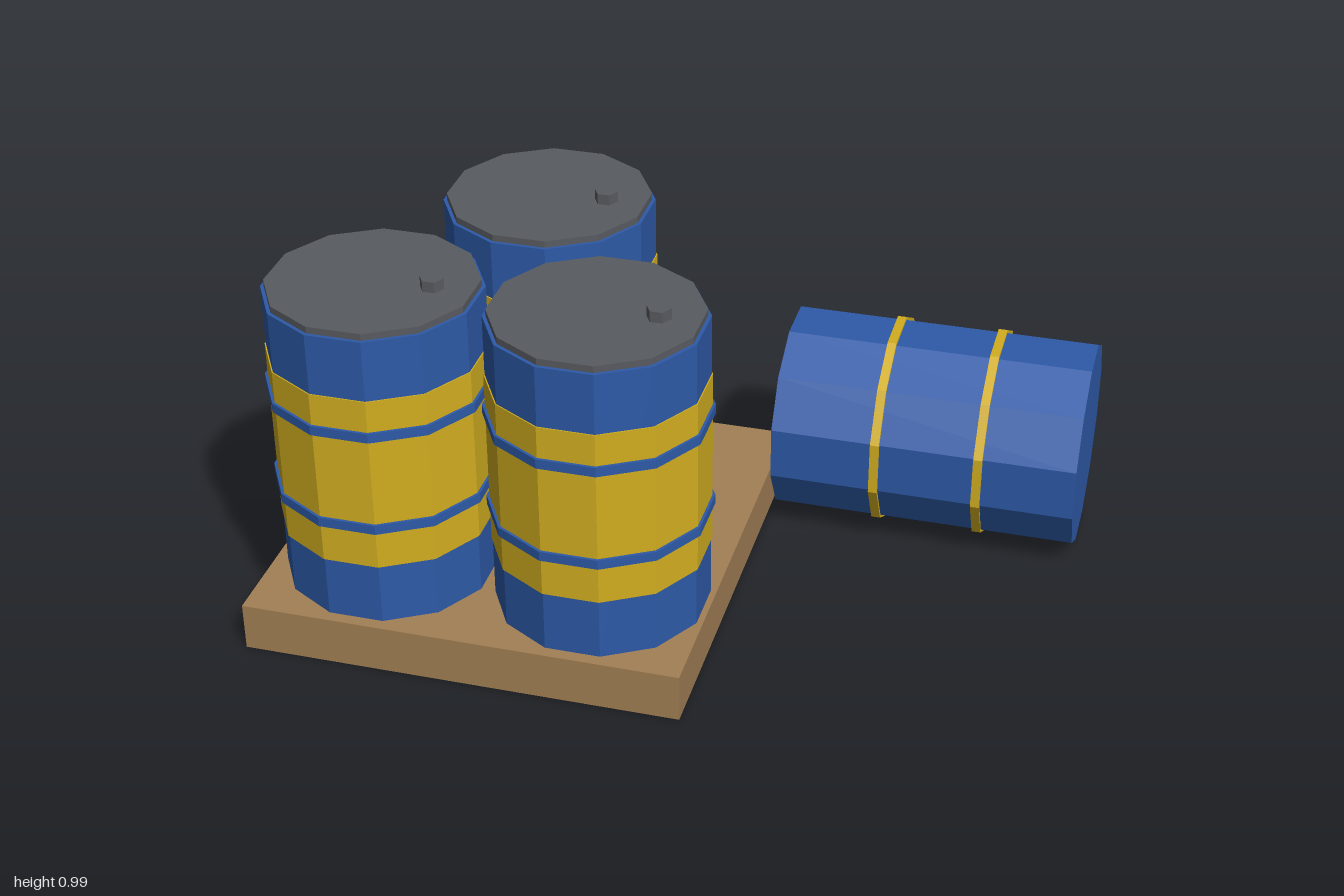
import * as THREE from 'three';

const material = (name, color) => {
  const m = new THREE.MeshStandardMaterial({ color, flatShading: true });
  m.name = name;
  return m;
};

export function createModel() {
  const blue = material('drum blue', 0x2d5aa8);
  const yellow = material('band yellow', 0xd2ae20);
  const grey = material('lid grey', 0x585b60);
  const brown = material('pallet brown', 0xa38055);

  const model = new THREE.Group();
  model.name = 'drumsOnPallet';
  const BASE = 0.13, LENGTH = 0.813;

  // Upright prism between two heights, with flat sides facing the axes
  const prism = (parent, name, mat, apothem, y0, y1, sides = 12) => {
    const geo = new THREE.CylinderGeometry(1, 1, y1 - y0, sides);
    geo.rotateY(Math.PI / sides);
    const r = apothem / Math.cos(Math.PI / sides);
    geo.scale(r, 1, r);
    const mesh = new THREE.Mesh(geo, mat);
    mesh.name = name;
    mesh.position.y = (y0 + y1) / 2;
    parent.add(mesh);
    return mesh;
  };

  // Pallet
  const pallet = new THREE.Mesh(new THREE.BoxGeometry(1.153, BASE, 1.158), brown);
  pallet.name = 'pallet';
  pallet.position.set(-0.4235, BASE / 2, 0.1);
  model.add(pallet);

  // Standing drums: shell, painted band, two hoops, lid and bung
  for (const [x, z] of [[-0.702, 0.38], [-0.13, 0.38], [-0.425, -0.174]]) {
    const drum = new THREE.Group();
    drum.name = 'standingDrum';
    drum.position.set(x, BASE, z);
    prism(drum, 'shell', blue, 0.267, 0, LENGTH);
    prism(drum, 'band', yellow, 0.27, 0.167, 0.65);
    for (const y of [0.284, 0.551]) prism(drum, 'hoop', blue, 0.277, y - 0.013, y + 0.013);
    prism(drum, 'lid', grey, 0.258, LENGTH, 0.831);
    prism(drum, 'bung', grey, 0.027, 0.831, 0.86, 6).position.x = 0.155;
    model.add(drum);
  }

  // Fallen drum lying along x
  const fallen = new THREE.Group();
  fallen.name = 'fallenDrum';
  fallen.rotation.z = -Math.PI / 2;
  fallen.position.set(0.187, 0.28, -0.405);
  prism(fallen, 'shell', blue, 0.267, 0, LENGTH);
  for (const y of [0.281, 0.556]) prism(fallen, 'hoop', yellow, 0.275, y - 0.012, y + 0.012);
  model.add(fallen);

  return model;
}
